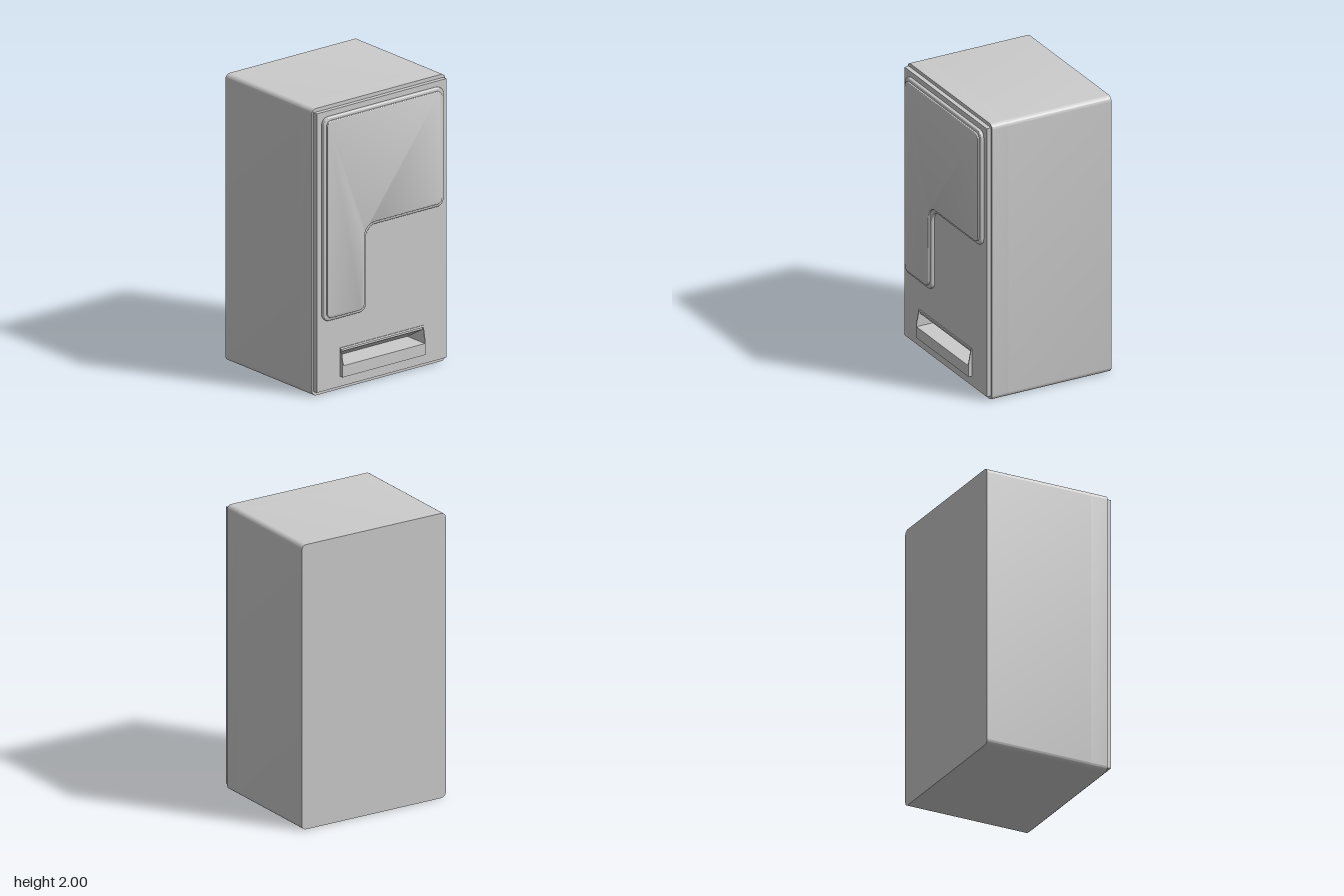
import * as THREE from 'three';
import { toCreasedNormals } from 'three/addons/utils/BufferGeometryUtils.js';

const grey = new THREE.MeshStandardMaterial({ color: 0xcccccc });

// Closed outline with rounded corners; each point is [a, y, radius]
function outline(points) {
  const shape = new THREE.Shape();
  const n = points.length;
  points.forEach(([a, y, r], i) => {
    const corner = new THREE.Vector2(a, y);
    const toward = ([pa, py]) => new THREE.Vector2(pa, py).sub(corner).setLength(r).add(corner);
    const start = toward(points[(i + n - 1) % n]);
    const end = toward(points[(i + 1) % n]);
    if (i === 0) shape.moveTo(start.x, start.y);
    else shape.lineTo(start.x, start.y);
    if (r > 0) {
      // bezier handles that follow a quarter circle
      const c1 = start.clone().lerp(corner, 0.55);
      const c2 = end.clone().lerp(corner, 0.55);
      shape.bezierCurveTo(c1.x, c1.y, c2.x, c2.y, end.x, end.y);
    }
  });
  shape.closePath();
  return shape;
}

const rect = (a0, y0, a1, y1, r = 0) =>
  outline([[a0, y0, r], [a1, y0, r], [a1, y1, r], [a0, y1, r]]);

// Panel lying in the z-y plane, running from x0 to x1, with an optional soft front edge
function panel(name, shape, x0, x1, bevel = 0) {
  const geo = new THREE.ExtrudeGeometry(shape, {
    depth: x1 - x0 - 2 * bevel, curveSegments: 8,
    bevelEnabled: bevel > 0, bevelSize: bevel, bevelThickness: bevel,
    bevelOffset: -bevel, bevelSegments: 4,
  });
  geo.translate(0, 0, x0 + bevel);
  geo.rotateY(Math.PI / 2);
  const mesh = new THREE.Mesh(toCreasedNormals(geo, 0.6), grey);
  mesh.name = name;
  return mesh;
}

// Solid with an x-y section, running along z
function bar(name, section, z0, z1) {
  const shape = new THREE.Shape(section.map(([x, y]) => new THREE.Vector2(x, y)));
  const geo = new THREE.ExtrudeGeometry(shape, { depth: z1 - z0, bevelEnabled: false });
  geo.translate(0, 0, z0);
  const mesh = new THREE.Mesh(geo, grey);
  mesh.name = name;
  return mesh;
}

// L-shaped window outline, shrunk by an inset
function windowShape(d, r, rInner) {
  return outline([
    [-0.51 + d, 0.517 + d, r], [-0.15 - d, 0.517 + d, r],
    [-0.15 - d, 1.107 + d, rInner], [0.51 - d, 1.107 + d, r],
    [0.51 - d, 1.937 - d, r], [-0.51 + d, 1.937 - d, r],
  ]);
}

export function createModel() {
  const model = new THREE.Group();
  model.name = 'vendingMachine';

  // Cabinet: solid rear and a front section opened for the dispenser
  const slot = () => rect(-0.345, 0.18, 0.345, 0.285);
  const cabinet = () => rect(-0.565, 0, 0.565, 2, 0.035);
  const front = cabinet();
  front.holes.push(slot());
  model.add(panel('cabinetRear', cabinet(), -0.485, 0.29));
  model.add(panel('cabinetFront', front, 0.29, 0.415));

  // Door
  const door = rect(-0.55, 0.03, 0.55, 1.975);
  door.holes.push(slot());
  model.add(panel('door', door, 0.415, 0.447));

  // Display window with its raised frame
  model.add(panel('windowFrame', windowShape(0, 0.05, 0.08), 0.44, 0.47, 0.008));
  model.add(panel('windowPane', windowShape(0.022, 0.04, 0.085), 0.46, 0.483, 0.006));

  // Dispenser: sloping ceiling inside, surround outside
  const dispenser = new THREE.Group();
  dispenser.name = 'dispenser';
  dispenser.add(bar('chuteCeiling',
    [[0.29, 0.18], [0.447, 0.272], [0.447, 0.285], [0.29, 0.285]], -0.345, 0.345));
  dispenser.add(bar('dispenserLip',
    [[0.44, 0.1], [0.473, 0.1], [0.473, 0.18], [0.44, 0.18]], -0.345, 0.345));
  dispenser.add(bar('dispenserTop',
    [[0.44, 0.287], [0.4545, 0.287], [0.452, 0.3], [0.44, 0.3]], -0.345, 0.345));
  const cheek = [[0.44, 0.1], [0.473, 0.1], [0.473, 0.19], [0.452, 0.3], [0.44, 0.3]];
  dispenser.add(bar('dispenserCheek', cheek, 0.345, 0.352));
  dispenser.add(bar('dispenserCheek', cheek, -0.352, -0.345));
  model.add(dispenser);

  return model;
}
